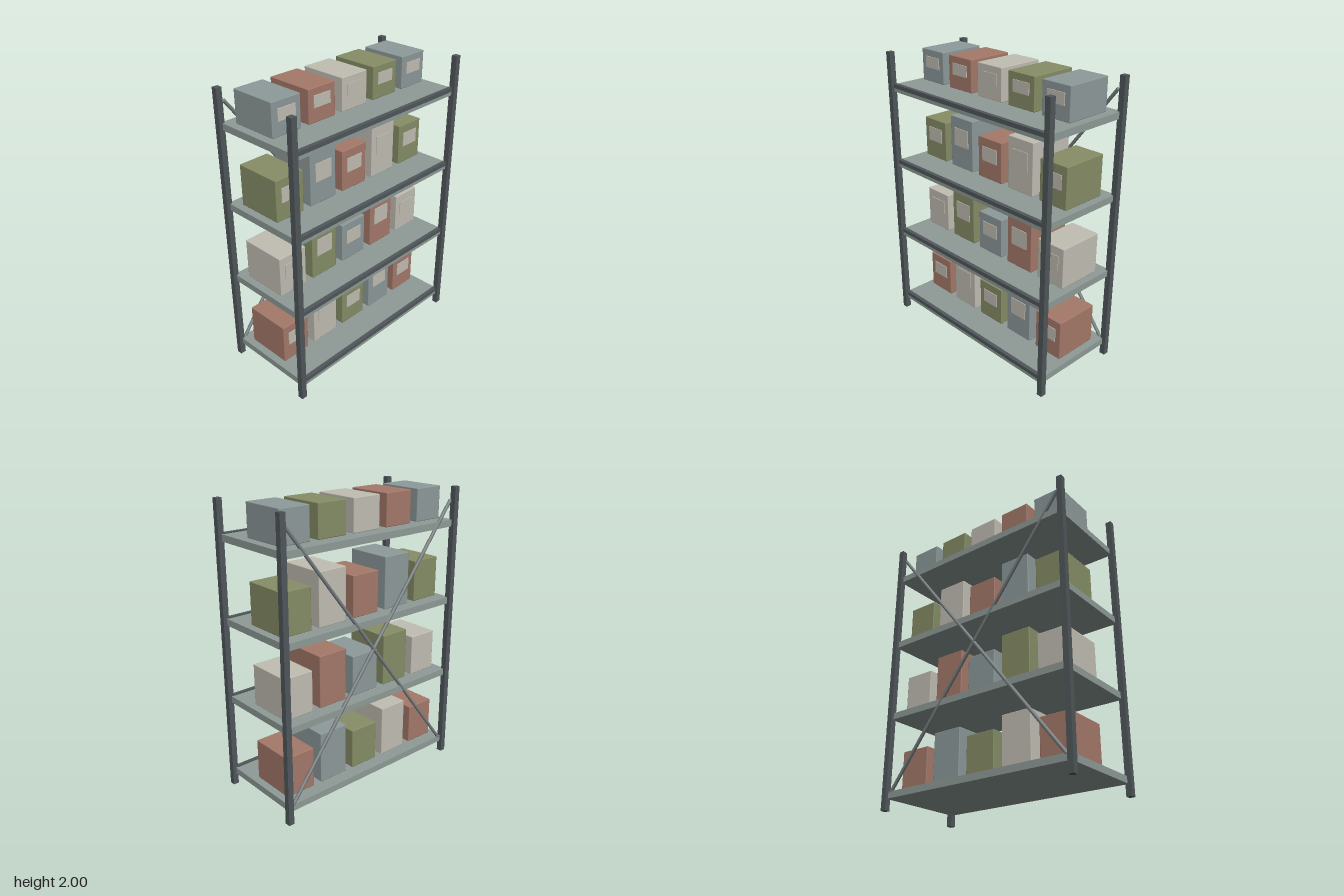
import * as THREE from 'three';
import { RoundedBoxGeometry } from 'three/addons/geometries/RoundedBoxGeometry.js';

function makeMaterial(name, color) {
  const material = new THREE.MeshStandardMaterial({ color });
  material.name = name;
  return material;
}

export function createModel() {
  const steel = makeMaterial('dark steel', 0x50575a);
  const shelfGrey = makeMaterial('shelf grey', 0x8f9b98);
  const braceGrey = makeMaterial('brace grey', 0x7b8284);
  const red = makeMaterial('brick red', 0xa5796a);
  const cream = makeMaterial('cream', 0xc1beb3);
  const green = makeMaterial('olive green', 0x868e66);
  const blue = makeMaterial('blue grey', 0x8e9a9b);
  const cartonColours = [red, cream, green, blue];

  const model = new THREE.Group();
  model.name = 'storageRack';

  const add = (name, geometry, material, x, y, z, parent = model) => {
    const mesh = new THREE.Mesh(geometry, material);
    mesh.name = name;
    mesh.position.set(x, y, z);
    parent.add(mesh);
    return mesh;
  };

  // Corner posts
  const postGeometry = new THREE.BoxGeometry(0.04, 2, 0.04);
  for (const x of [-0.725, 0.725]) {
    for (const z of [-0.322, 0.322]) add('post', postGeometry, steel, x, 1, z);
  }

  // Crossed braces along the back
  const braceX = 0.69, braceLow = 0.12, braceHigh = 1.91;
  const braceLength = Math.hypot(2 * braceX, braceHigh - braceLow);
  const braceGeometry = new THREE.CylinderGeometry(0.012, 0.012, braceLength, 8);
  for (const side of [-1, 1]) {
    const brace = add('backBrace', braceGeometry, braceGrey, 0, (braceLow + braceHigh) / 2, -0.314);
    brace.rotation.z = side * Math.atan2(2 * braceX, braceHigh - braceLow);
  }

  // Shelves, each with a front lip and five cartons
  const shelfGeometry = new THREE.BoxGeometry(1.44, 0.046, 0.644);
  const lipGeometry = new THREE.BoxGeometry(1.41, 0.028, 0.028);
  for (let row = 0; row < 4; row++) {
    const shelfTop = 0.126 + row * 0.55;
    add('shelf', shelfGeometry, shelfGrey, 0, shelfTop - 0.023, 0);
    add('shelfLip', lipGeometry, steel, 0, shelfTop - 0.006, 0.311);

    for (let i = 0; i < 5; i++) {
      // Heights alternate, except for the low cartons on the top shelf
      const height = row === 3 ? 0.22 : i % 2 ? 0.36 : 0.284;
      const carton = new THREE.Group();
      carton.name = 'carton';
      carton.position.set((i - 2) * 0.281, row === 3 ? 1.78 : shelfTop + 0.002, -0.07);
      model.add(carton);

      add('cartonBody', new RoundedBoxGeometry(0.22, height, 0.33, 1, 0.005),
        cartonColours[(i + row) % 4], 0, height / 2, 0, carton);
      add('cartonLabel', new THREE.BoxGeometry(0.136, height * 0.35, 0.006),
        cream, 0, height * 0.61, 0.167, carton);
    }
  }
  return model;
}
